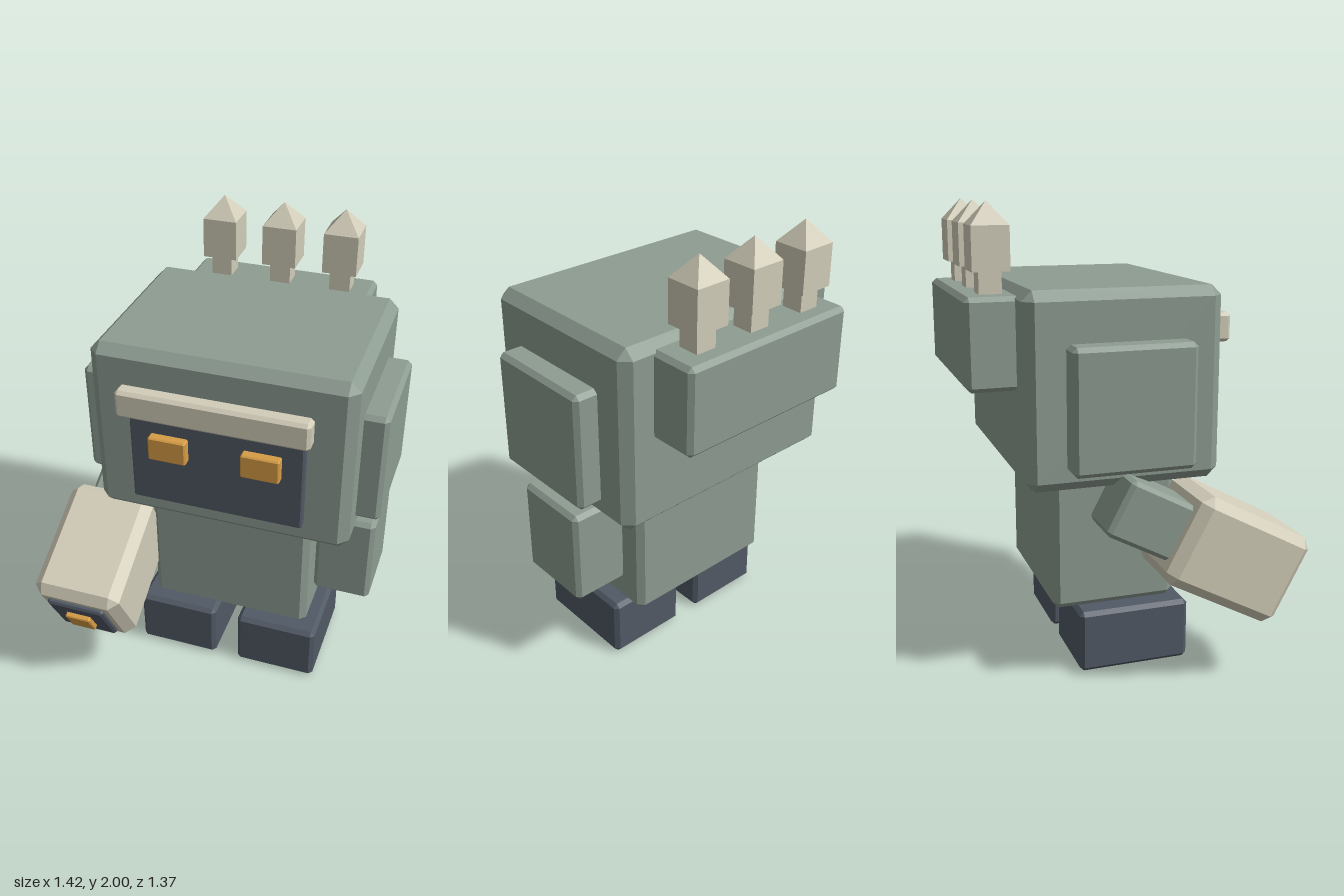
import * as THREE from 'three';
import { ConvexGeometry } from 'three/addons/geometries/ConvexGeometry.js';

const paint = (name, color) => {
  const m = new THREE.MeshStandardMaterial({ color });
  m.name = name;
  return m;
};

// Box with bevelled edges: each corner becomes three points, one per face
function bevelBox(w, h, d, c) {
  const pts = [];
  for (const x of [-1, 1]) for (const y of [-1, 1]) for (const z of [-1, 1]) {
    const [a, b, e] = [w / 2, h / 2, d / 2];
    pts.push(
      new THREE.Vector3(x * a, y * (b - c), z * (e - c)),
      new THREE.Vector3(x * (a - c), y * b, z * (e - c)),
      new THREE.Vector3(x * (a - c), y * (b - c), z * e));
  }
  return new ConvexGeometry(pts);
}

export function createModel() {
  const green = paint('sage green', 0x8d9c91);
  const cream = paint('cream', 0xd2cdb9);
  const dark = paint('slate', 0x515965);
  const amber = paint('amber', 0xd69c45);

  const model = new THREE.Group();
  model.name = 'robot';

  // Adds a bevelled box given its extents on each axis
  function block(name, mat, [x0, x1], [y0, y1], [z0, z1], bevel, parent = model) {
    const mesh = new THREE.Mesh(bevelBox(x1 - x0, y1 - y0, z1 - z0, bevel), mat);
    mesh.position.set((x0 + x1) / 2, (y0 + y1) / 2, (z0 + z1) / 2);
    mesh.name = name;
    parent.add(mesh);
    return mesh;
  }

  const midX = 0.048;

  // Torso, head and back pack
  block('torso', green, [-0.322, 0.418], [0.28, 0.863], [-0.332, 0.213], 0.027);
  block('head', green, [-0.512, 0.607], [0.87, 1.672], [-0.486, 0.34], 0.042);
  block('backPack', green, [-0.373, 0.468], [1.265, 1.64], [-0.685, -0.44], 0.019);

  // Parts mirrored about the body's middle
  for (const [side, s] of [['left', 1], ['right', -1]]) {
    const span = (a, b) => [midX + s * a, midX + s * b].sort((p, q) => p - q);
    block(side + 'Ear', green, span(0.5, 0.662), [0.951, 1.465], [-0.322, 0.193], 0.019);
    block(side + 'Foot', dark, span(0.055, 0.43), [0, 0.275], [-0.232, 0.263], 0.018);
    block(side + 'Eye', amber, span(0.117, 0.28), [1.22, 1.328], [0.37, 0.42], 0.006);
  }

  // Face
  block('facePlate', dark, [-0.324, 0.419], [0.985, 1.455], [0.32, 0.38], 0.007);
  block('brow', cream, [-0.357, 0.452], [1.415, 1.538], [0.368, 0.443], 0.014);

  // Hanging left arm
  block('leftArm', green, [0.426, 0.685], [0.43, 0.862], [-0.242, 0.115], 0.019);

  // Raised right arm with its big cuff, tilted forward and down
  const arm = new THREE.Group();
  arm.name = 'rightArm';
  arm.rotation.x = 0.488;
  model.add(arm);
  block('upperArm', green, [-0.636, -0.386], [0.537, 0.787], [-0.51, -0.1], 0.018, arm);
  block('cuff', cream, [-0.712, -0.31], [0.461, 0.862], [-0.219, 0.336], 0.042, arm);
  block('cuffPlate', dark, [-0.644, -0.378], [0.529, 0.795], [0.31, 0.357], 0.01, arm);
  block('cuffLight', amber, [-0.569, -0.453], [0.604, 0.72], [0.34, 0.38], 0.005, arm);

  // Row of pointed posts on the back pack
  for (const x of [-0.228, midX, 0.324]) {
    const post = new THREE.Group();
    post.name = 'post';
    post.position.set(x, 0, -0.562);
    const stem = new THREE.Mesh(new THREE.BoxGeometry(0.093, 0.13, 0.093), cream);
    stem.name = 'postStem';
    stem.position.y = 1.67;
    const block = new THREE.Mesh(new THREE.BoxGeometry(0.153, 0.178, 0.153), cream);
    block.name = 'postBlock';
    block.position.y = 1.819;
    const tipShape = new THREE.ConeGeometry(0.153 / Math.SQRT2, 0.092, 4, 1).toNonIndexed();
    tipShape.rotateY(Math.PI / 4);
    tipShape.computeVertexNormals();
    const tip = new THREE.Mesh(tipShape, cream);
    tip.name = 'postTip';
    tip.position.y = 1.954;
    post.add(stem, block, tip);
    model.add(post);
  }

  return model;
}
